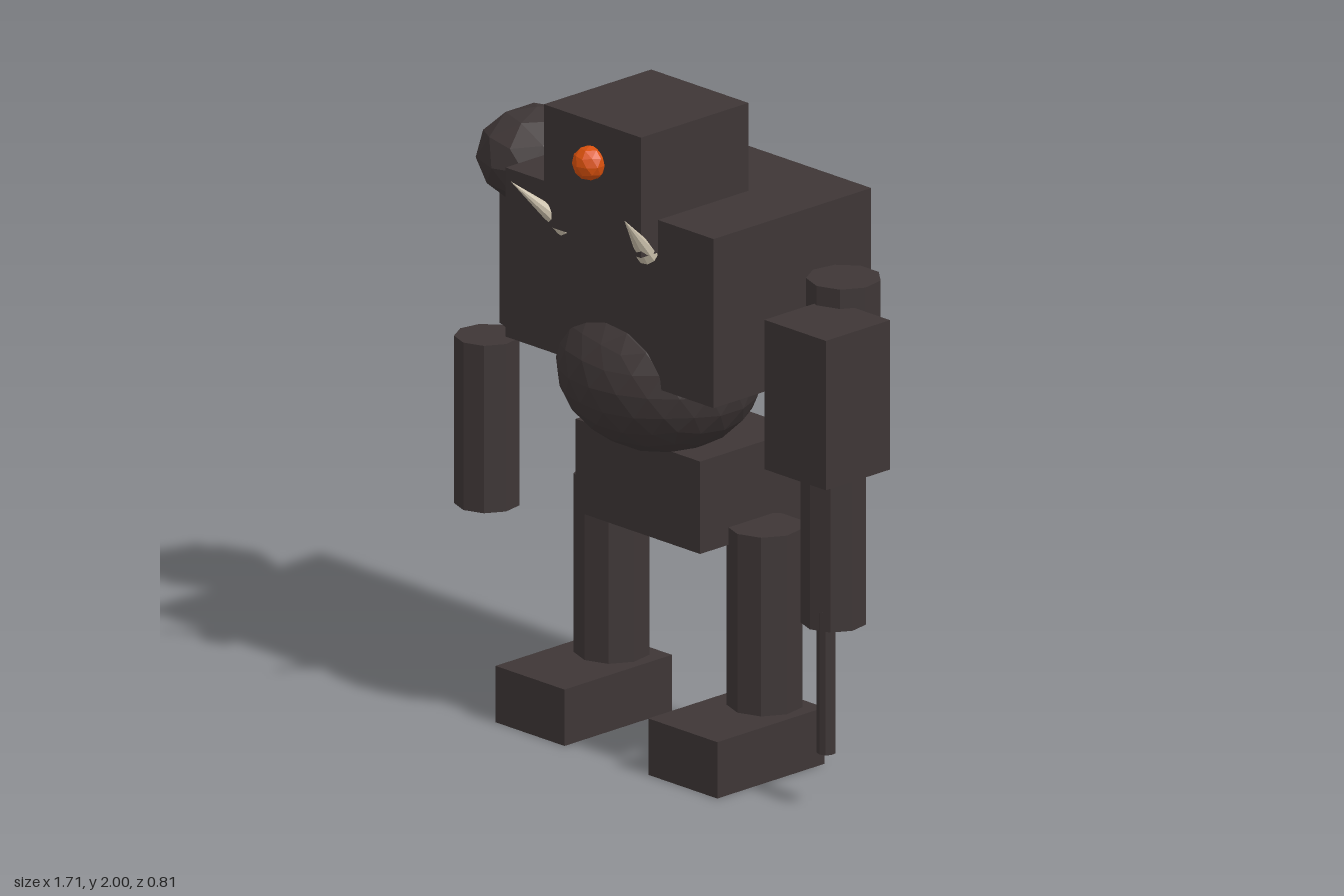
import * as THREE from 'three';

const MID = -0.034; // the body's own centre line in x

export function createModel() {
  const model = new THREE.Group();
  const mat = (name, color) => {
    const m = new THREE.MeshStandardMaterial({ color, flatShading: true });
    m.name = name;
    return m;
  };
  const iron = mat('dark iron', 0x3e3636);
  const bone = mat('bone', 0xcdc2ad);
  const glow = mat('orange eye', 0xd8500c);

  const add = (name, geometry, material, x, y, z) => {
    const mesh = new THREE.Mesh(geometry, material);
    mesh.name = name;
    mesh.position.set(x, y, z);
    model.add(mesh);
    return mesh;
  };
  // Box given by its extents
  const box = (name, x0, x1, y0, y1, z0, z1) =>
    add(name, new THREE.BoxGeometry(x1 - x0, y1 - y0, z1 - z0), iron,
      (x0 + x1) / 2, (y0 + y1) / 2, (z0 + z1) / 2);
  // Upright nine-sided post
  const post = (name, r, x, y0, y1, z) =>
    add(name, new THREE.CylinderGeometry(r, r, y1 - y0, 9), iron, x, (y0 + y1) / 2, z);
  // Faceted ellipsoid with a vertex at the pole
  const ball = (name, material, detail, x, y, z, rx, ry, rz) => {
    const g = new THREE.IcosahedronGeometry(1, detail);
    g.rotateZ(-Math.atan(2 / (1 + Math.sqrt(5)))).scale(rx, ry, rz);
    return add(name, g, material, x, y, z);
  };

  // Trunk and head
  box('head', -0.238, 0.17, 1.626, 2, -0.135, 0.303);
  box('chest', -0.471, 0.403, 1.202, 1.727, -0.41, 0.233);
  box('pelvis', -0.295, 0.228, 0.676, 0.963, -0.292, 0.118);
  ball('belly', iron, 3, MID, 1.175, 0.029, 0.322, 0.252, 0.289);
  ball('eye', glow, 1, MID, 1.873, 0.314, 0.053, 0.053, 0.053);

  // Paired limbs and tusks
  const up = new THREE.Vector3(0, 1, 0);
  for (const [side, s] of [['left', 1], ['right', -1]]) {
    post(side + 'UpperArm', 0.1117, MID + s * 0.644, 1.114, 1.58, -0.098);
    post(side + 'Forearm', 0.098, MID + s * 0.728, 0.562, 1.082, 0.025);
    post(side + 'Leg', 0.1135, MID + s * 0.321, 0.088, 0.73, -0.09);
    const fx = MID + s * 0.321;
    box(side + 'Foot', fx - 0.145, fx + 0.145, 0, 0.175, -0.192, 0.246);

    const base = new THREE.Vector3(MID + s * 0.171, 1.615, 0.245);
    const tip = new THREE.Vector3(MID + s * 0.239, 1.777, 0.405);
    const axis = tip.clone().sub(base);
    const centre = base.clone().add(tip).multiplyScalar(0.5);
    add(side + 'Tusk', new THREE.ConeGeometry(0.033, axis.length(), 9), bone,
      centre.x, centre.y, centre.z)
      .quaternion.setFromUnitVectors(up, axis.normalize());
  }

  // Shoulder ball on the right arm, gun on the left
  ball('rightShoulderBall', iron, 1, -0.677, 1.637, -0.097, 0.1755, 0.146, 0.188);
  box('gunHousing', 0.595, 0.853, 1.056, 1.52, -0.05, 0.212);
  post('gunBarrel', 0.028, 0.724, 0.178, 0.62, 0.085);

  return model;
}
